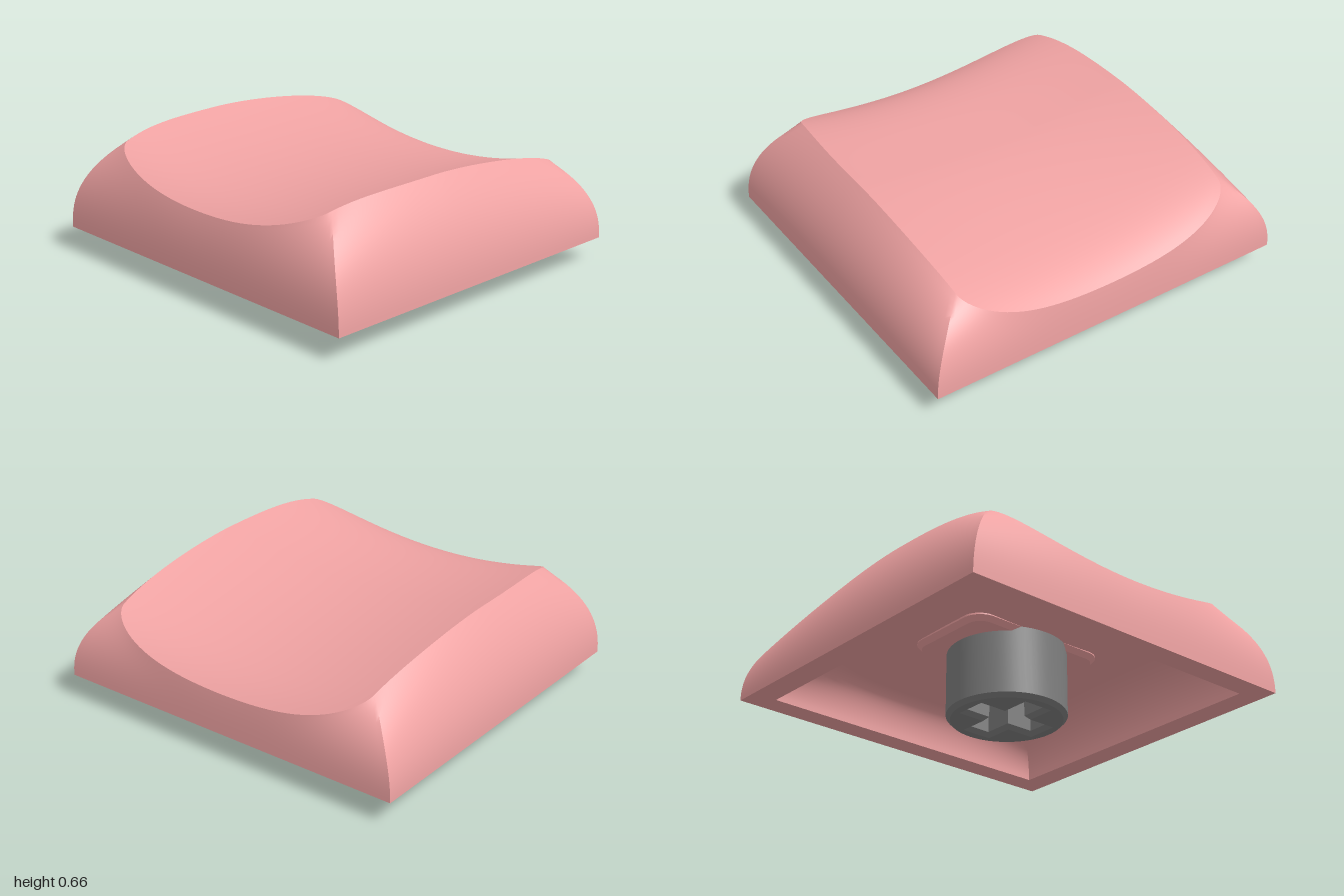
import * as THREE from 'three';
import { mergeGeometries, toCreasedNormals } from 'three/addons/utils/BufferGeometryUtils.js';

const BASE_Y = 0.13, HALF_X = 1, HALF_Z = 0.928;
const SIDES = [0, 1, 2, 3]; // front, +x, back, -x
const COLUMNS = 48;

// Height of the dished top: a trough across x that rolls off to front and back
function topHeight(x, z) {
  const d = Math.abs(z - 0.1);
  const fall = z > 0.1
    ? 0.085 * (d / 0.79) ** 5
    : 0.1 * (d / 0.85) ** 1.7 + 0.06 * (d / 1.02) ** 8;
  return 0.545 - fall + 0.18 * x * x;
}

// Nearly flat ceiling of the hollow underside
function ceilingHeight(x, z) {
  return 0.38 + 0.3 * (topHeight(x, z) - 0.545);
}

// Point on the rim of the dish; s goes from -1 to 1 along each side
function rimPoint(side, s) {
  const a = Math.abs(s), u = Math.sin((Math.PI / 2) * s), b = Math.abs(u);
  if (side === 0) return [0.75 * u, 0.73 + 0.16 * Math.sqrt(1 - b ** 3)];
  if (side === 2) return [-0.78 * u, -0.75 - 0.17 * Math.sqrt(1 - b ** 4)];
  const t = side === 1 ? s : -s; // -1 at the front, 1 at the back
  const x = 0.8 - (t < 0 ? 0.05 : 0.02) * a ** 3;
  return [side === 1 ? x : -x, -0.01 - 0.74 * t];
}

// Point on the rectangular foot
function footPoint(side, s) {
  return [
    [HALF_X * s, HALF_Z], [HALF_X, -HALF_Z * s],
    [-HALF_X * s, -HALF_Z], [-HALF_X, HALF_Z * s],
  ][side];
}

// Grid of quads from a function of (s, row)
function patch(columns, rows, fn, flip = false) {
  const pos = [], index = [];
  for (let j = 0; j <= rows; j++)
    for (let i = 0; i <= columns; i++) pos.push(...fn((2 * i) / columns - 1, j));
  for (let j = 0; j < rows; j++)
    for (let i = 0; i < columns; i++) {
      const a = j * (columns + 1) + i, b = a + 1, c = a + columns + 1, d = c + 1;
      if (flip) index.push(a, d, b, a, c, d);
      else index.push(a, b, d, a, d, c);
    }
  const geo = new THREE.BufferGeometry();
  geo.setAttribute('position', new THREE.Float32BufferAttribute(pos, 3));
  geo.setIndex(index);
  return geo;
}

// Outer wall, upright at the foot and arching over to the rim
function outerWall(side) {
  const rows = 20, lerp = THREE.MathUtils.lerp;
  return patch(COLUMNS, rows, (s, j) => {
    const v = j / rows;
    const [fx, fz] = footPoint(side, s), [rx, rz] = rimPoint(side, s);
    return [
      lerp(fx, rx, v ** 2.25),
      lerp(BASE_Y, topHeight(rx, rz), v),
      lerp(fz, rz, v ** 2.6),
    ];
  });
}

// Inner wall, a quarter round from the opening into the ceiling
function innerWall(side, open, rimScale) {
  const rows = 14, lerp = THREE.MathUtils.lerp;
  return patch(COLUMNS, rows, (s, j) => {
    const angle = (j / rows) * (Math.PI / 2), inset = 1 - Math.cos(angle);
    const [fx, fz] = footPoint(side, s).map((n) => n * open);
    const [rx, rz] = rimPoint(side, s).map((n) => n * rimScale);
    return [
      lerp(fx, rx, inset),
      lerp(BASE_Y, ceilingHeight(rx, rz), Math.sin(angle)),
      lerp(fz, rz, inset),
    ];
  }, true);
}

// Quarter of a dished surface, closed towards the centre ring by ring
function dish(side, outerScale, rows, height, flip) {
  return patch(COLUMNS, rows, (s, j) => {
    const [x, z] = rimPoint(side, s).map((n) => n * outerScale * (1 - j / rows));
    return [x, height(x, z), z];
  }, flip);
}

function meshFrom(name, parts, material, crease) {
  const mesh = new THREE.Mesh(toCreasedNormals(mergeGeometries(parts), crease), material);
  mesh.name = name;
  return mesh;
}

// Rectangle with rounded corners, centred on the origin
function roundedRect(hx, hy, r) {
  const shape = new THREE.Shape();
  shape.absarc(hx - r, hy - r, r, 0, Math.PI / 2);
  shape.absarc(r - hx, hy - r, r, Math.PI / 2, Math.PI);
  shape.absarc(r - hx, r - hy, r, Math.PI, Math.PI * 1.5);
  shape.absarc(hx - r, r - hy, r, Math.PI * 1.5, Math.PI * 2);
  return shape;
}

// Upright extrusion with chamfered ends, starting at height y
function extrudeUp(shape, y, height, bevel) {
  return new THREE.ExtrudeGeometry(shape, {
    depth: height - 2 * bevel, bevelEnabled: true, bevelThickness: bevel,
    bevelSize: bevel, bevelSegments: 1, curveSegments: 32,
  }).translate(0, 0, bevel).rotateX(-Math.PI / 2).translate(0, y, 0);
}

export function createModel() {
  const group = new THREE.Group();
  group.name = 'keycap';
  const pink = new THREE.MeshStandardMaterial({ color: 0xf0a3a3 });
  const grey = new THREE.MeshStandardMaterial({ color: 0x808080 });

  // Outer shell
  group.add(meshFrom('outerWalls', SIDES.map(outerWall), pink, 0.6));
  group.add(meshFrom('dishedTop', SIDES.map((k) => dish(k, 1, 28, topHeight, false)), pink, 0.6));

  // Hollow underside
  const open = 0.866, innerRim = 0.75;
  group.add(meshFrom('innerShell', SIDES.flatMap((k) => [
    innerWall(k, open, innerRim),
    dish(k, innerRim, 10, ceilingHeight, true),
  ]), pink, 0.6));

  // Flat bottom edge of the shell
  group.add(meshFrom('bottomRim', SIDES.map((k) => patch(1, 1, (s, j) => {
    const [x, z] = footPoint(k, s).map((n) => n * (j ? open : 1));
    return [x, BASE_Y, z];
  }, true)), pink, 0.5));

  // Slightly raised pad on the ceiling around the stem
  group.add(meshFrom('stemPad', [extrudeUp(roundedRect(0.4, 0.25, 0.08), 0.355, 0.08, 0.025)], pink, 0.5));

  // Round stem with a cross-shaped socket and chamfered lip
  const bevel = 0.022, arm = 0.24, w = 0.085;
  const round = new THREE.Shape().absarc(0, 0, 0.31 - bevel, 0, Math.PI * 2, false);
  const corners = [[w, w], [w, arm], [-w, arm], [-w, w], [-arm, w], [-arm, -w],
    [-w, -w], [-w, -arm], [w, -arm], [w, -w], [arm, -w], [arm, w]];
  round.holes.push(new THREE.Path(corners.map(([x, y]) => new THREE.Vector2(x, y)).reverse()));
  group.add(meshFrom('stem', [extrudeUp(round, 0, 0.42, bevel)], grey, 0.5));

  // Closed end of the socket
  const plug = new THREE.Mesh(new THREE.CylinderGeometry(0.28, 0.28, 0.06, 32), grey);
  plug.name = 'socketEnd';
  plug.position.y = 0.37;
  group.add(plug);

  return group;
}
